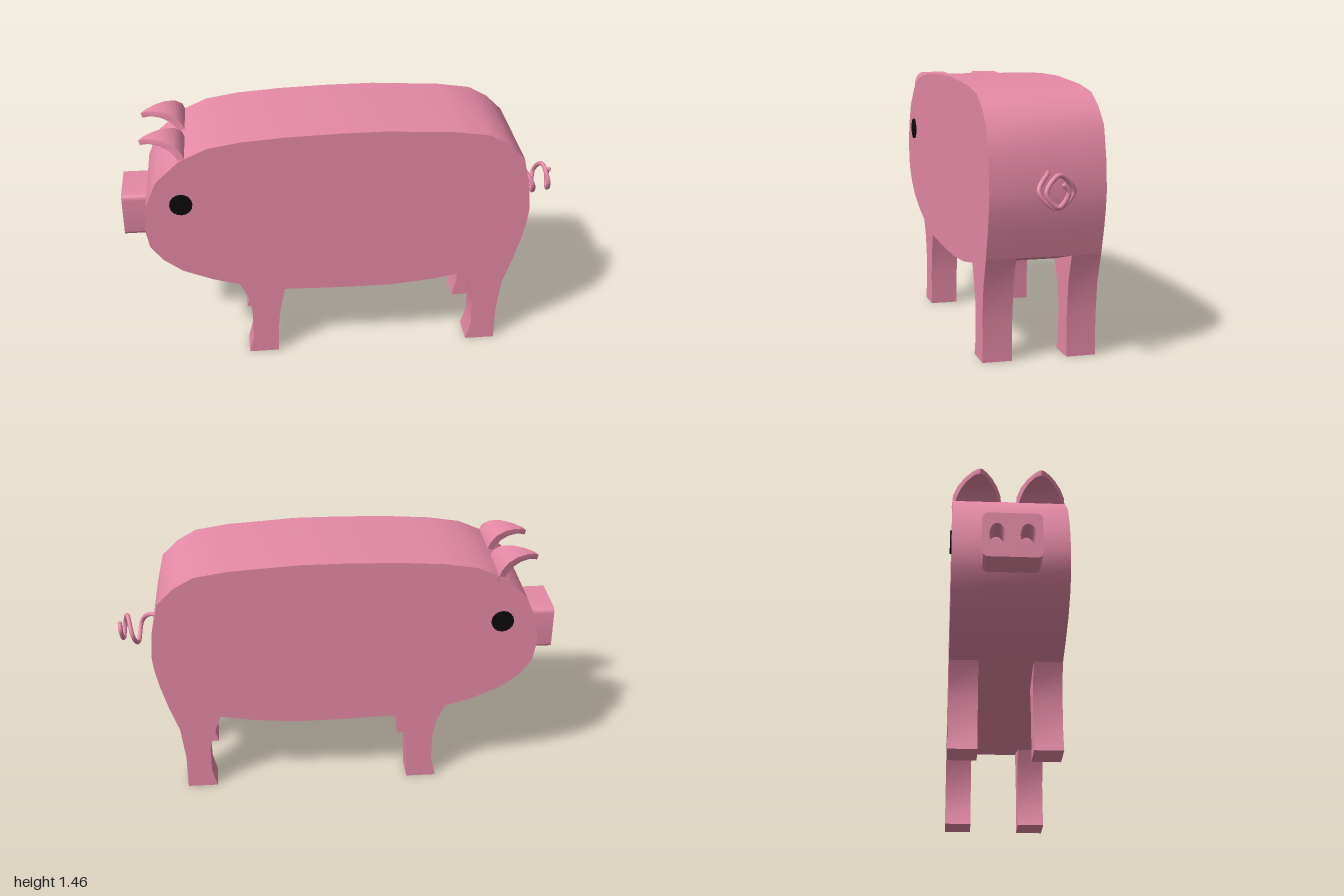
import * as THREE from 'three';
import { toCreasedNormals } from 'three/addons/utils/BufferGeometryUtils.js';

const HALF = 0.311; // half the body width
const LEG_IN = 0.15; // inner face of the legs

// Side profiles: x is forward, y is up
const BODY = [
  [1.096, 0.91], [1.08, 1.05], [1.014, 1.205], [0.877, 1.33], [0.72, 1.4], [0.537, 1.43], [0.29, 1.447],
  [0.01, 1.455], [-0.256, 1.455], [-0.649, 1.43], [-0.839, 1.4], [-0.952, 1.335], [-1.043, 1.245],
  [-1.085, 1.07], [-1.1, 0.91], [-1.09, 0.82], [-1.07, 0.72], [-1.028, 0.565], [-0.733, 0.49],
  [-0.54, 0.457], [-0.294, 0.435], [0.005, 0.437], [0.32, 0.447], [0.583, 0.5], [0.735, 0.545],
  [0.9, 0.615], [1.005, 0.695], [1.075, 0.79],
];
const FRONT_LEG = [
  [0.583, 0.5], [0.535, 0.4], [0.515, 0.3], [0.512, 0.11], [0.54, 0], [0.365, 0],
  [0.36, 0.2], [0.35, 0.3], [0.32, 0.447],
];
const REAR_LEG = [
  [-0.733, 0.49], [-0.77, 0.4], [-0.806, 0.27], [-0.806, 0.11], [-0.778, 0], [-0.952, 0],
  [-0.952, 0.21], [-0.975, 0.41], [-1.028, 0.565],
];
const EAR = [
  [0.835, 1.31], [0.86, 1.375], [0.9, 1.41], [0.96, 1.425], [1.02, 1.422], [1.07, 1.41], [1.095, 1.395],
  [1.088, 1.368], [1.04, 1.388], [0.98, 1.39], [0.93, 1.375], [0.895, 1.345], [0.875, 1.31],
];

const outline = (points) => new THREE.Shape(points.map(([x, y]) => new THREE.Vector2(x, y)));

function slab(points, from, to) {
  const geo = new THREE.ExtrudeGeometry(outline(points), { depth: to - from, bevelEnabled: false });
  geo.translate(0, 0, from);
  return toCreasedNormals(geo, 0.6);
}

export function createModel() {
  const model = new THREE.Group();
  model.name = 'pig';
  const pink = new THREE.MeshStandardMaterial({ name: 'pink', color: 0xe589a6 });
  const black = new THREE.MeshStandardMaterial({ name: 'black', color: 0x0b0b0b });
  const add = (name, geo, mat = pink) => {
    const mesh = new THREE.Mesh(geo, mat);
    mesh.name = name;
    model.add(mesh);
    return mesh;
  };

  add('body', slab(BODY, -HALF, HALF));

  for (const [side, sign] of [['left', -1], ['right', 1]]) {
    // Legs, flush with the body sides
    const from = sign > 0 ? LEG_IN : -HALF;
    const to = sign > 0 ? HALF : -LEG_IN;
    add(side + 'FrontLeg', slab(FRONT_LEG, from, to));
    add(side + 'RearLeg', slab(REAR_LEG, from, to));

    // Thin round eye
    const eye = add(side + 'Eye', new THREE.CylinderGeometry(0.064, 0.064, 0.009, 16), black);
    eye.rotation.x = Math.PI / 2;
    eye.position.set(0.885, 1.058, sign * (HALF + 0.0045));

    // Arched ear, tapering to a point at the front
    const geo = new THREE.ExtrudeGeometry(outline(EAR), { depth: 1, bevelEnabled: false });
    const p = geo.attributes.position;
    for (let i = 0; i < p.count; i++) {
      const t = THREE.MathUtils.clamp((p.getX(i) - 0.85) / 0.245, 0, 1);
      const width = Math.max(0.275 * (1 - t), 0.006);
      p.setZ(i, (p.getZ(i) - 0.5) * width + sign * (0.177 - 0.012 * t));
    }
    add(side + 'Ear', toCreasedNormals(geo, 0.6));
  }

  // Snout: rounded block with two nostril holes
  const w = 0.155, h = 0.13, r = 0.03;
  const snout = new THREE.Shape();
  snout.absarc(w - r, h - r, r, 0, Math.PI / 2);
  snout.absarc(r - w, h - r, r, Math.PI / 2, Math.PI);
  snout.absarc(r - w, r - h, r, Math.PI, Math.PI * 1.5);
  snout.absarc(w - r, r - h, r, Math.PI * 1.5, Math.PI * 2);
  for (const x of [-0.08, 0.08]) {
    const hole = new THREE.Path();
    hole.absellipse(x, 0, 0.041, 0.069, 0, Math.PI * 2, true);
    snout.holes.push(hole);
  }
  const snoutGeo = new THREE.ExtrudeGeometry(snout, { depth: 0.224, bevelEnabled: false, curveSegments: 8 });
  snoutGeo.rotateY(Math.PI / 2).translate(1, 0.908, 0);
  add('snout', toCreasedNormals(snoutGeo, 0.8));

  // Curly tail
  const curl = new THREE.CatmullRomCurve3([
    [-1.06, 1.01, 0.005], [-1.12, 1.01, -0.015], [-1.177, 0.93, -0.075], [-1.197, 0.845, 0.01],
    [-1.218, 0.93, 0.095], [-1.246, 1.02, 0.01], [-1.272, 0.935, -0.065], [-1.283, 0.865, -0.005],
    [-1.29, 0.94, 0.045], [-1.293, 0.975, 0.02],
  ].map((q) => new THREE.Vector3(...q)));
  add('tail', new THREE.TubeGeometry(curl, 70, 0.013, 8));
  const tip = add('tailTip', new THREE.SphereGeometry(0.013, 8, 6));
  tip.position.copy(curl.getPoint(1));

  // Stand diagonally, head towards the front right
  model.rotation.y = -Math.PI * 0.75;
  const root = new THREE.Group();
  root.name = 'model';
  root.add(model);
  return root;
}
